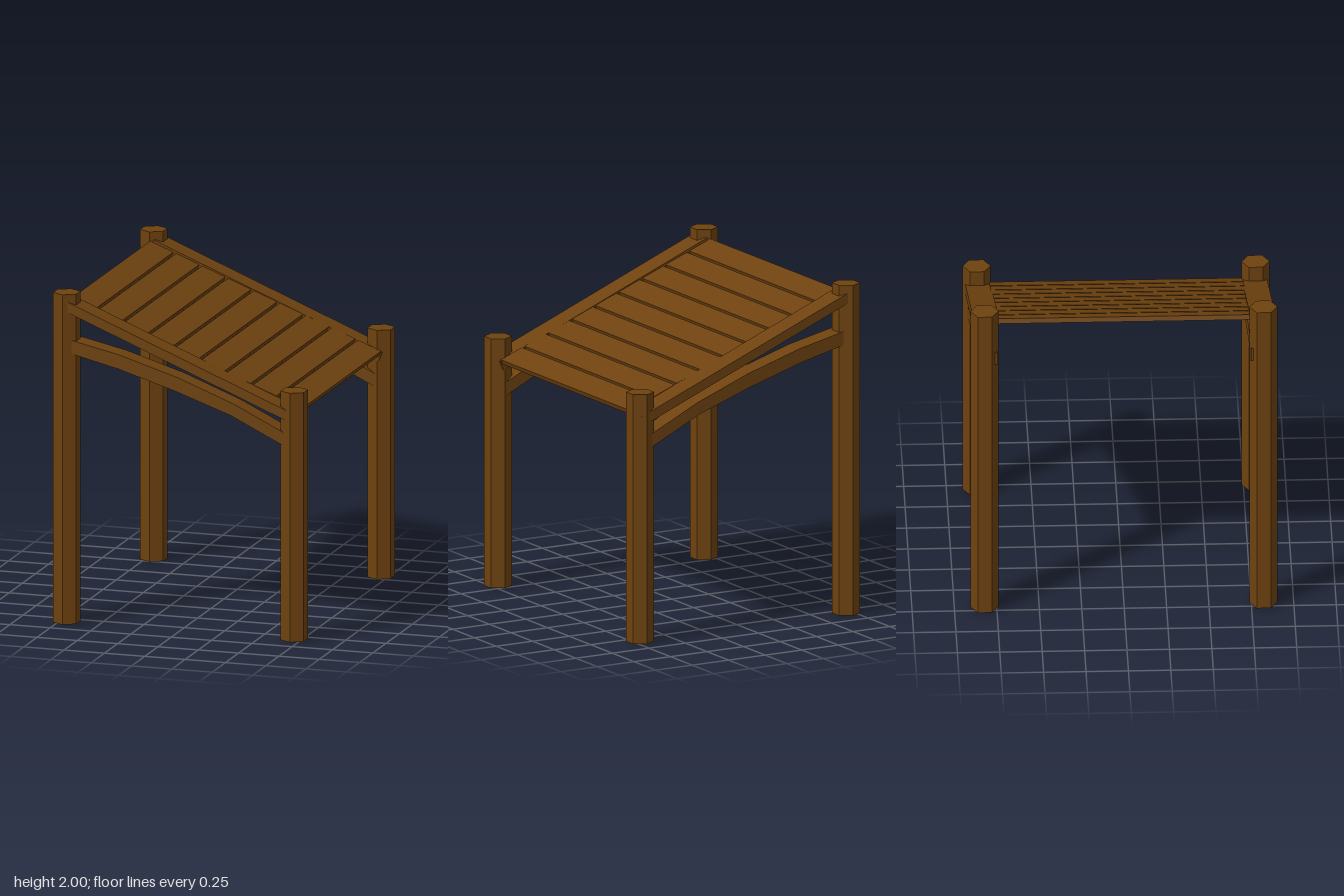
import * as THREE from 'three';

export function createModel() {
  const model = new THREE.Group();
  const wood = new THREE.MeshStandardMaterial({ color: 0x6e420f });
  wood.name = 'brownWood';

  const add = (geometry, name, x = 0, y = 0, z = 0) => {
    const mesh = new THREE.Mesh(geometry, wood);
    mesh.name = name;
    mesh.position.set(x, y, z);
    model.add(mesh);
    return mesh;
  };

  // Beam with a side outline in x and y, extruded from z0 to z0 + width
  const beam = (points, width) =>
    new THREE.ExtrudeGeometry(new THREE.Shape(points.map(([x, y]) => new THREE.Vector2(x, y))),
      { depth: width, bevelEnabled: false });

  // Arched brace: lower and upper edges
  const arch = [
    [-0.745, 1.66], [-0.37, 1.57], [-0.01, 1.46], [0.33, 1.34], [0.70, 1.16],
    [0.70, 1.24], [0.35, 1.41], [0, 1.545], [-0.36, 1.655], [-0.745, 1.74],
  ];
  // Straight sloping rail
  const rail = [[-0.70, 1.9], [0.715, 1.322], [0.735, 1.376], [-0.68, 1.954]];

  for (const side of [1, -1]) {
    const end = side > 0 ? 'front' : 'back';

    // Hexagonal posts, tall at -x and short at +x
    for (const [x, height, label] of [[-0.705, 2, 'TallPost'], [0.705, 1.51, 'ShortPost']]) {
      const post = new THREE.CylinderGeometry(0.083, 0.083, height, 6).toNonIndexed();
      post.computeVertexNormals();
      add(post, end + label, x, height / 2, side * 0.822);
    }

    add(beam(rail, 0.15), end + 'Rail', 0, 0, side > 0 ? 0.74 : -0.89);
    add(beam(arch, 0.13), end + 'ArchedBrace', 0, 0, side > 0 ? 0.747 : -0.877);
  }

  // Roof slats laid down the slope with narrow gaps
  const count = 9, gap = 0.018, thickness = 0.03;
  const start = new THREE.Vector2(-0.70, 1.945);
  const run = new THREE.Vector2(0.73, 1.385).sub(start);
  const angle = run.angle();
  const pitch = (run.length() + gap) / count;
  const along = run.clone().normalize();
  const down = new THREE.Vector2(along.y, -along.x);
  for (let i = 0; i < count; i++) {
    const center = start.clone()
      .addScaledVector(along, i * pitch + (pitch - gap) / 2)
      .addScaledVector(down, thickness / 2);
    const slat = add(new THREE.BoxGeometry(pitch - gap, thickness, 1.495), 'roofSlat', center.x, center.y, 0);
    slat.rotation.z = angle;
  }

  return model;
}
